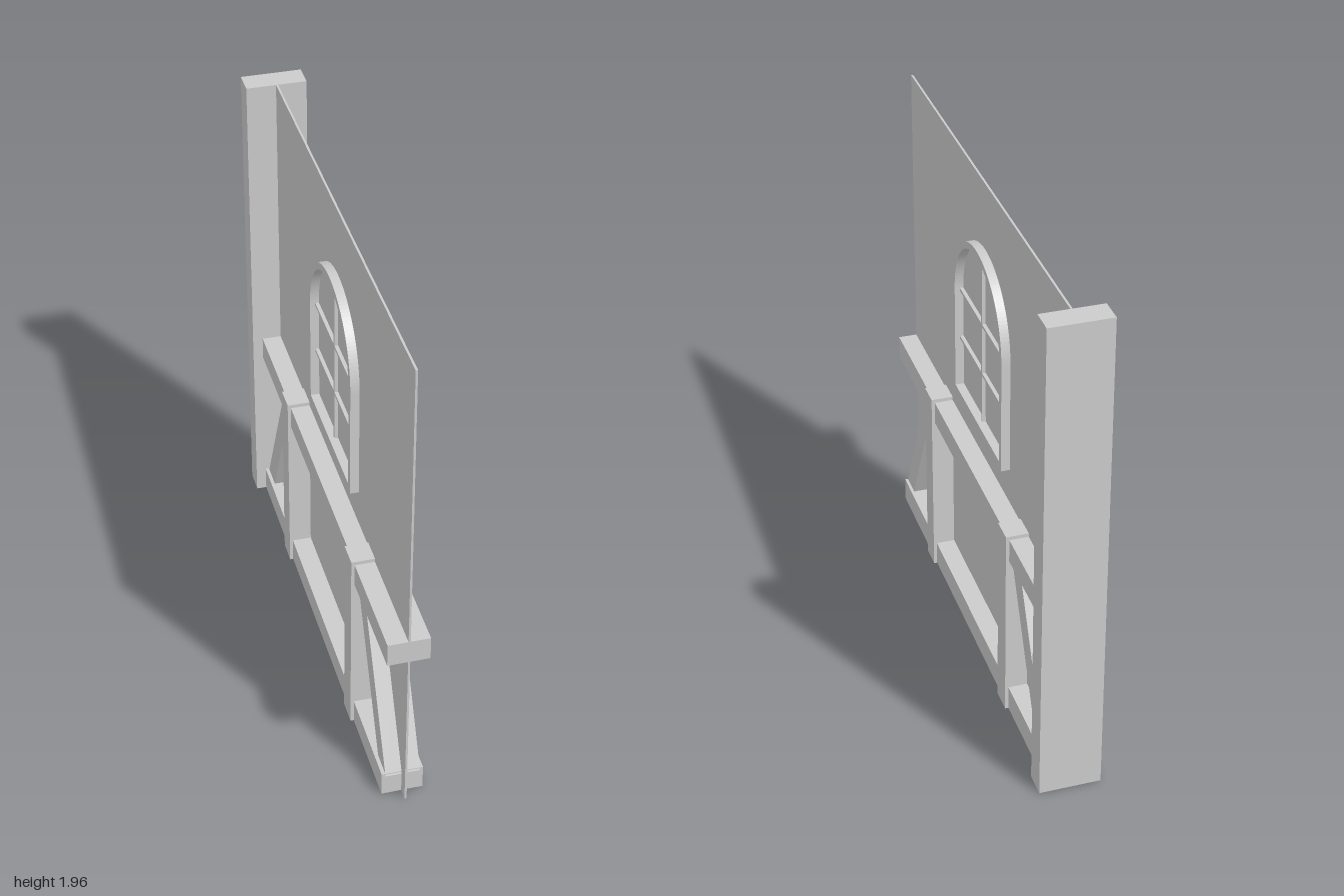
import * as THREE from 'three';

const material = new THREE.MeshStandardMaterial({ color: 0xcccccc, flatShading: true });
const smooth = new THREE.MeshStandardMaterial({ color: 0xcccccc });

export function createModel() {
  const group = new THREE.Group();

  const add = (name, geometry, mat = material) => {
    const mesh = new THREE.Mesh(geometry, mat);
    mesh.name = name;
    group.add(mesh);
    return mesh;
  };

  // Box spanning x0..x1, y0..y1, z0..z1
  const beam = (name, x0, x1, y0, y1, z0, z1) =>
    add(name, new THREE.BoxGeometry(x1 - x0, y1 - y0, z1 - z0))
      .position.set((x0 + x1) / 2, (y0 + y1) / 2, (z0 + z1) / 2);

  // Outline drawn in (-z, y), extruded evenly about x = 0
  const slab = (name, shape, halfDepth, mat) => {
    const geometry = new THREE.ExtrudeGeometry(shape, {
      depth: halfDepth * 2, bevelEnabled: false, curveSegments: 32,
    });
    geometry.translate(0, 0, -halfDepth).rotateY(Math.PI / 2);
    add(name, geometry, mat);
  };

  // Thin wall panel and the heavy corner post
  beam('wallPanel', -0.004, 0.004, 0, 1.955, -0.95, 1);
  beam('cornerPost', -0.12, 0.116, 0, 1.955, -1, -0.905);

  // Horizontal rails
  beam('middleRail', -0.08, 0.078, 0.69, 0.785, -0.91, 1);
  beam('bottomRail', -0.08, 0.078, 0, 0.1, -0.91, 0.955);

  // Short studs
  beam('frontStud', -0.093, 0.091, 0, 0.8, 0.465, 0.56);
  beam('backStud', -0.093, 0.091, 0, 0.8, -0.51, -0.415);

  // Slanted braces, given as z at the foot and z at the head
  const brace = (name, foot0, foot1, head0, head1) =>
    slab(name, new THREE.Shape([
      new THREE.Vector2(-foot0, 0.09), new THREE.Vector2(-foot1, 0.09),
      new THREE.Vector2(-head1, 0.695), new THREE.Vector2(-head0, 0.695),
    ]), 0.066);
  brace('frontBrace', 0.958, 0.86, 0.655, 0.56);
  brace('backBrace', -0.802, -0.903, -0.508, -0.608);

  // Arched window frame
  const centre = 0.025, spring = 1.385;
  const arch = (Kind, radius, sill) => {
    const path = new Kind();
    path.moveTo(-centre - radius, sill);
    path.lineTo(-centre + radius, sill);
    path.lineTo(-centre + radius, spring);
    path.absarc(-centre, spring, radius, 0, Math.PI, false);
    path.closePath();
    return path;
  };
  const frame = arch(THREE.Shape, 0.306, 0.93);
  frame.holes.push(arch(THREE.Path, 0.28, 0.958));
  slab('windowFrame', frame, 0.038, smooth);

  // Glazing bars
  beam('verticalBar', -0.018, 0.018, 0.95, 1.67, centre - 0.006, centre + 0.006);
  for (const y of [1.167, 1.378]) {
    beam('horizontalBar', -0.018, 0.018, y - 0.006, y + 0.006, centre - 0.285, centre + 0.285);
  }

  return group;
}
